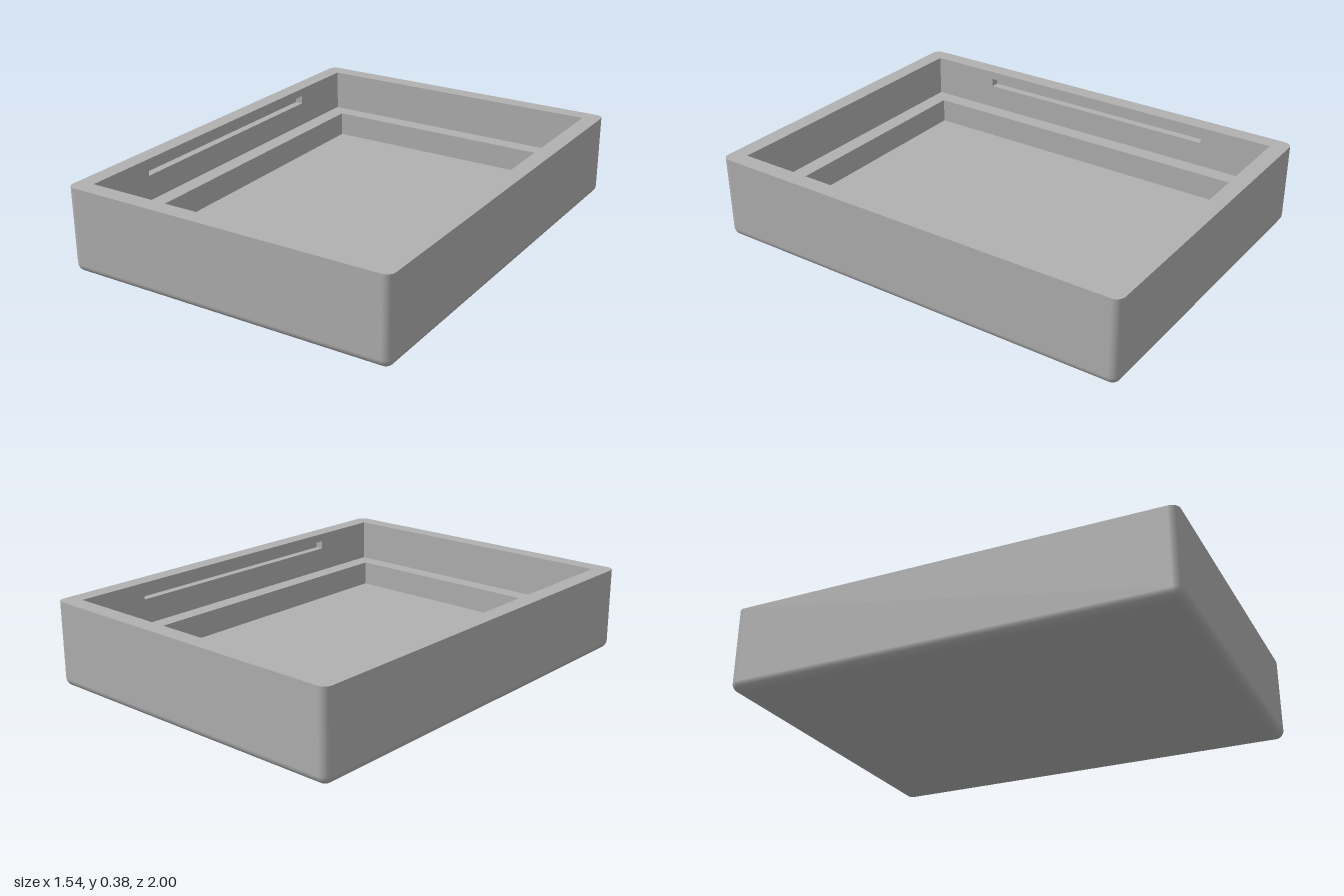
import * as THREE from 'three';

const U = 1 / 13;                        // wall thickness, the module of the design
const W = 10 * U, D = 13 * U, H = 5 * U; // outer half width, half depth, height
const LEDGE = 2.5 * U, FLOOR = U;        // heights of the step and the floor
const R = 0.5 * U;                       // corner and bottom edge radius
const SLOT = { y0: 4 * U, y1: 4.5 * U, half: 0.588, depth: 0.5 * U };

function rect(target, hx, y0, y1) {
  target.moveTo(-hx, y0).lineTo(hx, y0).lineTo(hx, y1).lineTo(-hx, y1).closePath();
  return target;
}

// Outer sides with rounded corners and a rounded bottom edge, exact normals
function shellGeometry(steps = 8) {
  const pos = [], nor = [], idx = [];
  const corners = [[1, 1], [-1, 1], [-1, -1], [1, -1]];
  const ring = 4 * (steps + 1);
  for (let j = -1; j <= steps; j++) {
    const t = Math.max(j, 0) / steps * Math.PI / 2;
    corners.forEach(([sx, sz], c) => {
      for (let i = 0; i <= steps; i++) {
        const a = (c + i / steps) * Math.PI / 2;
        const n = [Math.cos(a) * Math.cos(t), -Math.sin(t), Math.sin(a) * Math.cos(t)];
        pos.push(sx * (W - R) + R * n[0], j < 0 ? H : R + R * n[1], sz * (D - R) + R * n[2]);
        nor.push(...n);
      }
    });
  }
  for (let j = 0; j <= steps; j++) {
    for (let i = 0; i < ring; i++) {
      const a = j * ring + i, b = j * ring + (i + 1) % ring;
      idx.push(a, b, a + ring, b, b + ring, a + ring);
    }
  }
  const g = new THREE.BufferGeometry();
  g.setAttribute('position', new THREE.Float32BufferAttribute(pos, 3));
  g.setAttribute('normal', new THREE.Float32BufferAttribute(nor, 3));
  g.setIndex(idx);
  return g;
}

// Inward-facing box without some sides (0..5 = +x, -x, +y, -y, +z, -z)
function cavity(w, h, d, open) {
  const g = new THREE.BoxGeometry(w, h, d);
  const src = Array.from(g.index.array), idx = [];
  for (let f = 0; f < 6; f++) {
    if (open.includes(f)) continue;
    for (let k = f * 6; k < f * 6 + 6; k += 3) idx.push(src[k], src[k + 2], src[k + 1]);
  }
  g.setIndex(idx);
  g.clearGroups();
  const n = g.attributes.normal;
  for (let i = 0; i < n.array.length; i++) n.array[i] *= -1;
  return g;
}

// Flat upward-facing frame
function frame(outer, hx, hz, y) {
  outer.holes.push(rect(new THREE.Path(), hx, -hz, hz));
  return new THREE.ShapeGeometry(outer, 8).rotateX(-Math.PI / 2).translate(0, y, 0);
}

export function createModel() {
  const model = new THREE.Group();
  model.name = 'steppedTray';
  const grey = new THREE.MeshStandardMaterial({ color: 0xb0b0b0 });
  grey.name = 'grey';
  const add = (name, geometry) => {
    const mesh = new THREE.Mesh(geometry, grey);
    mesh.name = name;
    model.add(mesh);
    return mesh;
  };

  // Outside
  add('outerShell', shellGeometry());
  add('underside', new THREE.PlaneGeometry(2 * (W - R), 2 * (D - R)).rotateX(Math.PI / 2));

  // Top rim with rounded outer corners
  const x = W - R, z = D - R;
  const outline = new THREE.Shape();
  outline.absarc(x, z, R, 0, Math.PI / 2);
  outline.absarc(-x, z, R, Math.PI / 2, Math.PI);
  outline.absarc(-x, -z, R, Math.PI, Math.PI * 1.5);
  outline.absarc(x, -z, R, Math.PI * 1.5, Math.PI * 2);
  add('topRim', frame(outline, W - U, D - U, H));

  // Upper pocket end walls, step and lower pocket
  const ix = W - U, iz = D - U;
  add('upperEndWalls', cavity(2 * ix, H - LEDGE, 2 * iz, [0, 1, 2, 3]))
    .position.y = (H + LEDGE) / 2;
  add('ledge', frame(rect(new THREE.Shape(), ix, -iz, iz), ix - U, iz - U, LEDGE));
  add('lowerPocket', cavity(2 * (ix - U), LEDGE - FLOOR, 2 * (iz - U), [2]))
    .position.y = (LEDGE + FLOOR) / 2;

  // Long side walls, each with a horizontal slot
  for (const [side, s] of [['left', 1], ['right', -1]]) {
    const wall = rect(new THREE.Shape(), iz, LEDGE, H);
    wall.holes.push(rect(new THREE.Path(), SLOT.half, SLOT.y0, SLOT.y1));
    add(side + 'UpperWall', new THREE.ShapeGeometry(wall)
      .rotateY(-s * Math.PI / 2).translate(s * ix, 0, 0));
    add(side + 'Slot', cavity(SLOT.depth, SLOT.y1 - SLOT.y0, 2 * SLOT.half, [s > 0 ? 1 : 0]))
      .position.set(s * (ix + SLOT.depth / 2), (SLOT.y0 + SLOT.y1) / 2, 0);
  }
  return model;
}
